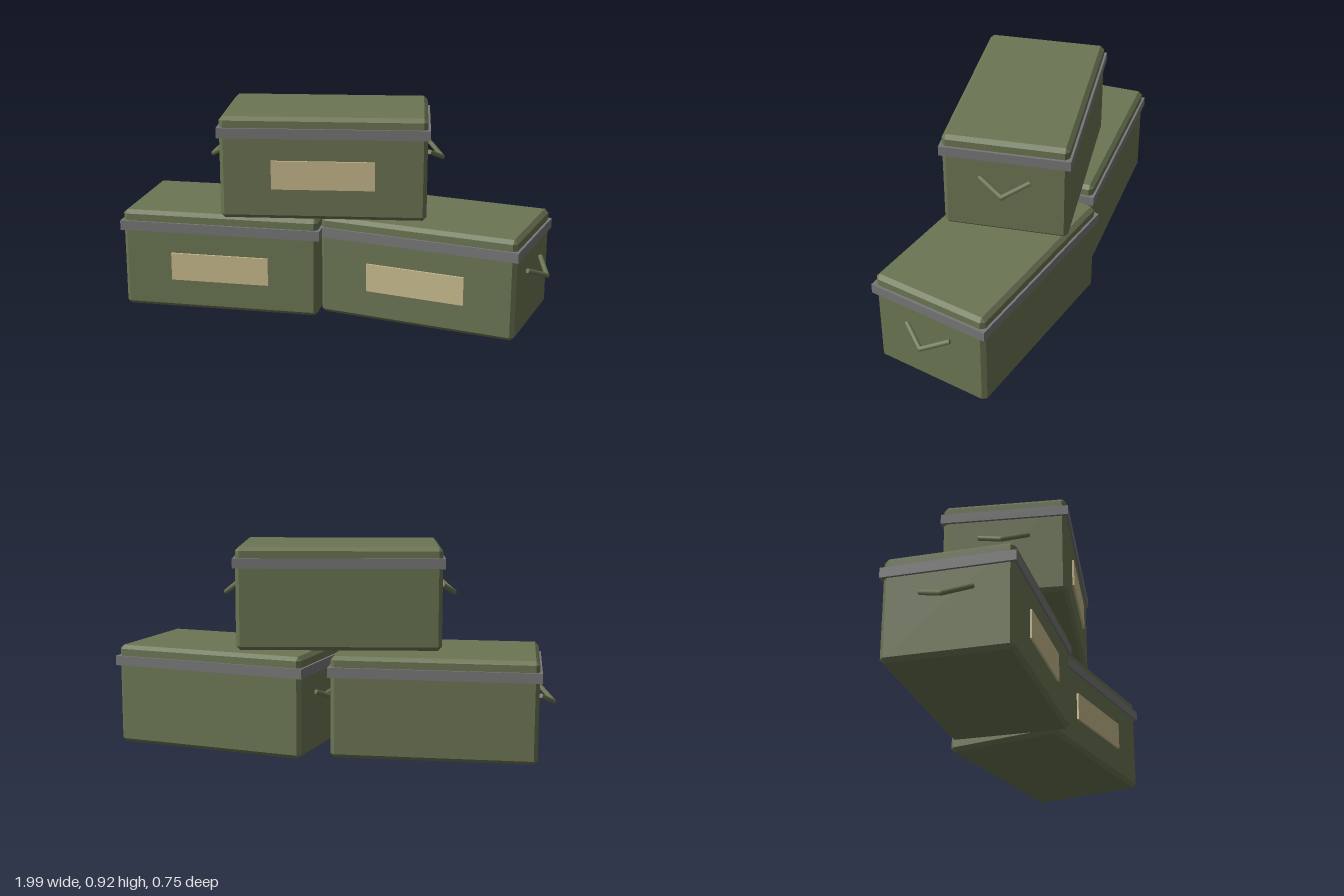
import * as THREE from 'three';
import { ConvexGeometry } from 'three/addons/geometries/ConvexGeometry.js';

const W = 0.894, H = 0.45, D = 0.537, BEVEL = 0.017;

const olive = new THREE.MeshStandardMaterial({ color: 0x6b7553 });
olive.name = 'olive paint';
const grey = new THREE.MeshStandardMaterial({ color: 0x777777 });
grey.name = 'grey metal';
const cream = new THREE.MeshStandardMaterial({ color: 0xc8bb8e });
cream.name = 'cream label';

function part(name, geometry, material, x = 0, y = 0, z = 0) {
  const mesh = new THREE.Mesh(geometry, material);
  mesh.name = name;
  mesh.position.set(x, y, z);
  return mesh;
}

// Box with every edge cut at 45 degrees: each corner becomes three points
function bevelledBox(w, h, d, c) {
  const points = [];
  for (const sx of [-1, 1]) for (const sy of [-1, 1]) for (const sz of [-1, 1]) {
    for (const axis of [0, 1, 2]) {
      points.push(new THREE.Vector3(
        sx * (w / 2 - (axis === 0 ? 0 : c)),
        sy * (h / 2 - (axis === 1 ? 0 : c)),
        sz * (d / 2 - (axis === 2 ? 0 : c))));
    }
  }
  return new ConvexGeometry(points);
}

// Round bar between two points
function bar(name, a, b, r) {
  const mesh = part(name, new THREE.CylinderGeometry(r, r, a.distanceTo(b), 8), olive);
  mesh.position.copy(a).add(b).multiplyScalar(0.5);
  mesh.quaternion.setFromUnitVectors(new THREE.Vector3(0, 1, 0), b.clone().sub(a).normalize());
  return mesh;
}

// V-shaped handle hanging outward and down from the end wall
function makeHandle(name) {
  const handle = new THREE.Group();
  handle.name = name;
  const elbow = new THREE.Vector3(0.515, 0.225, 0);
  for (const s of [-1, 1]) {
    const end = new THREE.Vector3(0.455, 0.272, s * 0.108);
    handle.add(bar(s > 0 ? 'handleFrontBar' : 'handleBackBar', end, elbow, 0.011));
  }
  handle.add(part('handleElbow', new THREE.SphereGeometry(0.011, 8, 6), olive, elbow.x, elbow.y, elbow.z));
  return handle;
}

function makeCrate(name, x, y, z, degrees) {
  const crate = new THREE.Group();
  crate.name = name;
  crate.add(part('body', bevelledBox(W, H, D, BEVEL), olive, 0, H / 2, 0));
  crate.add(part('lidBand', new THREE.BoxGeometry(W + 0.022, 0.044, D + 0.02), grey, 0, 0.38, 0));
  crate.add(part('frontLabel', new THREE.BoxGeometry(0.447, 0.126, 0.009), cream, 0, 0.198, D / 2 + 0.0045));
  const left = makeHandle('leftHandle');
  const right = makeHandle('rightHandle');
  right.rotation.y = Math.PI;
  crate.add(left, right);
  crate.position.set(x, y, z);
  crate.rotation.y = THREE.MathUtils.degToRad(degrees);
  return crate;
}

export function createModel() {
  const model = new THREE.Group();
  model.name = 'crateStack';
  model.add(
    makeCrate('lowerRightCrate', -0.473, 0, 0.007, 5),
    makeCrate('lowerLeftCrate', 0.472, 0, -0.035, -8),
    makeCrate('topCrate', -0.023, 0.467, 0.008, 12));
  return model;
}
